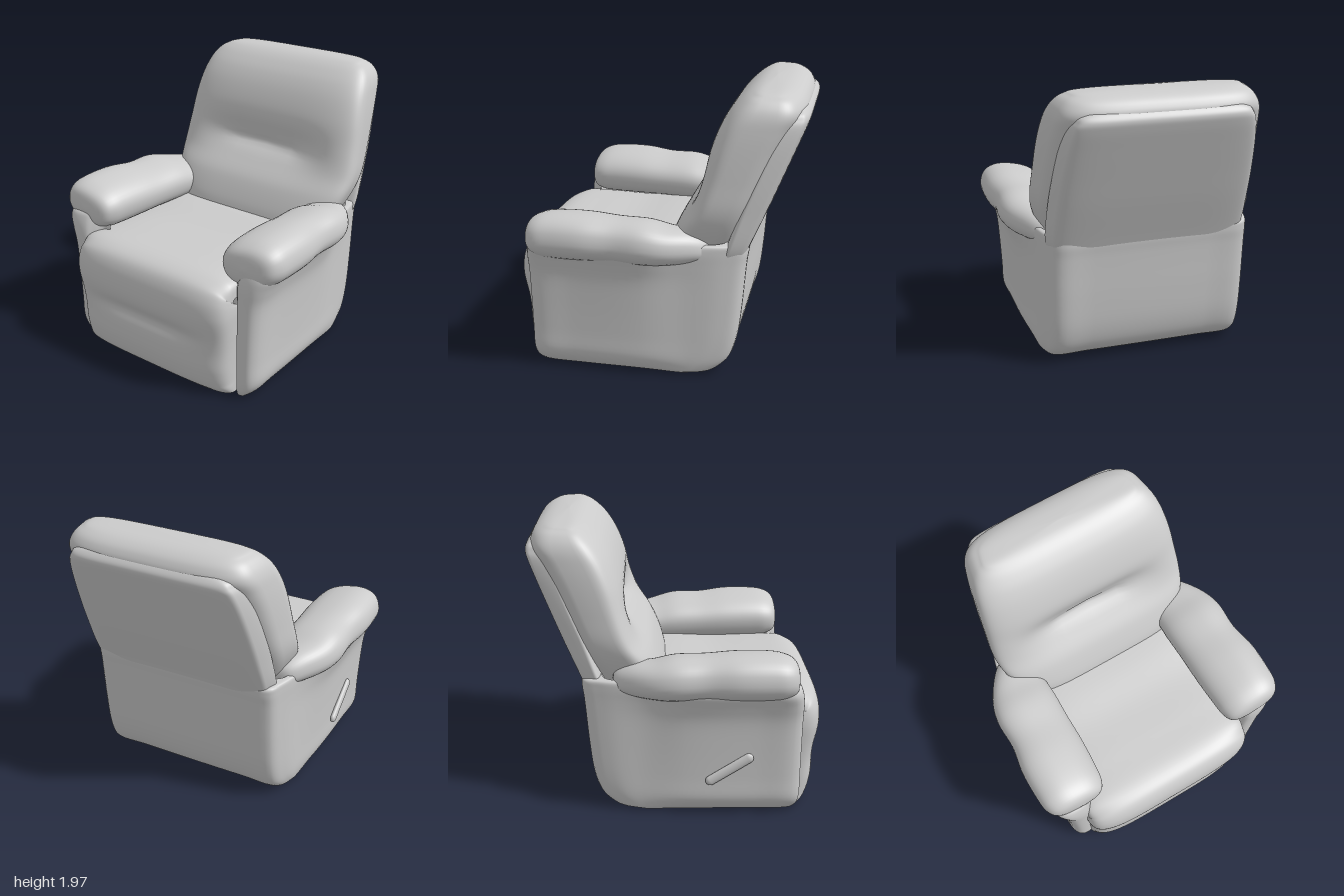
import * as THREE from 'three';
import { mergeVertices } from 'three/addons/utils/BufferGeometryUtils.js';

const material = new THREE.MeshStandardMaterial({ color: 0xcccccc, side: THREE.DoubleSide });

// Smooth surface from a function point(u, v), u and v in 0..1
function surface(name, nu, nv, point) {
  const pos = [], index = [];
  for (let i = 0; i <= nv; i++)
    for (let j = 0; j <= nu; j++) pos.push(...point(j / nu, i / nv));
  for (let i = 0; i < nv; i++)
    for (let j = 0; j < nu; j++) {
      const a = i * (nu + 1) + j, c = a + nu + 1;
      index.push(a, a + 1, c, a + 1, c + 1, c);
    }
  let geo = new THREE.BufferGeometry();
  geo.setAttribute('position', new THREE.Float32BufferAttribute(pos, 3));
  geo.setIndex(index);
  geo = mergeVertices(geo, 1e-5);
  geo.computeVertexNormals();
  const mesh = new THREE.Mesh(geo, material);
  mesh.name = name;
  return mesh;
}

// Smooth interpolation through the rows of a small table
function track(rows) {
  const at = (i) => rows[Math.max(0, Math.min(rows.length - 1, i))];
  return (t) => {
    const f = t * (rows.length - 1), i = Math.min(Math.floor(f), rows.length - 2), s = f - i;
    return rows[0].map((_, k) => {
      const [a, b, c, d] = [at(i - 1)[k], at(i)[k], at(i + 1)[k], at(i + 2)[k]];
      return b + 0.5 * s * (c - a + s * (2 * a - 5 * b + 4 * c - d + s * (3 * (b - c) + d - a)));
    });
  };
}

const power = (x, p) => Math.sign(x) * Math.abs(x) ** p;
const bell = (x, centre, width) => Math.exp(-(((x - centre) / width) ** 2));
const fade = (x, width) => Math.exp(-((x / width) ** 4));

// Side and back walls: one U-shaped skin, open at the bottom, narrower at the back
function bodyShell() {
  // rows: y, half width, front z, back z
  const levels = track([
    [0, 0.71, 0.79, -0.38], [0.05, 0.76, 0.815, -0.46], [0.13, 0.795, 0.825, -0.53],
    [0.28, 0.8, 0.825, -0.575], [0.5, 0.81, 0.825, -0.6], [0.7, 0.825, 0.825, -0.615],
    [0.82, 0.855, 0.825, -0.625], [0.91, 0.885, 0.81, -0.635], [0.96, 0.86, 0.78, -0.62], [0.97, 0.75, 0.7, -0.5],
  ]);
  const outline = (w, zf, zb) => {
    const xs = (k) => 0.63 + k * (w - 0.63), wb = Math.min(w - 0.02, 0.715);
    const half = [
      [0.54, zf - 0.1], [0.6, zf - 0.09], [xs(0.06), zf - 0.04], [xs(0.25), zf], [xs(0.75), zf],
      [w, zf - 0.06], [w, zf - 0.3], [w * 0.985, 0.05], [wb + 0.4 * (w - wb), -0.22],
      [wb, zb + 0.13], [wb - 0.06, zb + 0.01], [0.4, zb],
    ];
    const pts = [...half, ...half.map(([x, z]) => [-x, z]).reverse()];
    return new THREE.CatmullRomCurve3(pts.map(([x, z]) => new THREE.Vector3(x, 0, z)));
  };
  let last = -1, curve;
  return surface('bodyShell', 138, 40, (u, v) => {
    const [y, w, zf, zb] = levels(v);
    if (v !== last) { curve = outline(w, zf, zb); last = v; }
    const p = curve.getPoint(u);
    return [p.x, y, p.z];
  });
}

// Footrest and seat: one padded sheet with edges rolled inwards
function seatCushion() {
  const path = new THREE.CatmullRomCurve3([
    [0, 0.87], [0.06, 0.93], [0.17, 0.96], [0.32, 0.965], [0.42, 0.975], [0.6, 1.0], [0.73, 0.985],
    [0.81, 0.94], [0.85, 0.85], [0.855, 0.6], [0.85, 0.3], [0.87, 0], [0.87, -0.55],
  ].map(([y, z]) => new THREE.Vector3(0, y, z)));
  return surface('seatAndFootrest', 56, 90, (u, v) => {
    const p = path.getPoint(v), t = path.getTangent(v), a = (u - 0.5) * Math.PI;
    const bulge = 0.65 + 0.02 * bell(p.y, 0.6, 0.25);
    const x = bulge * power(Math.sin(a), 0.5);
    const front = THREE.MathUtils.smoothstep(p.z, 0.8, 0.93);
    const d = (0.14 + 0.12 * front) * (1 - Math.max(0, Math.cos(a)) ** 0.4)
      + 0.035 * front * bell(p.y, 0.41, 0.07) * fade(x, 0.45);
    return [x - 0.03, p.y + t.z * d * Math.min(1, p.y * 4), p.z - t.y * d];
  });
}

// Upright padded slab, tapering to the rear, from rows of: y, half width, front z, back z
function slab(name, rows, exponent, dent) {
  const levels = track(rows);
  return surface(name, 72, 70, (u, v) => {
    const [y, w, zf, zb] = levels(v), a = u * Math.PI * 2;
    const x = w * power(Math.cos(a), 2 / exponent), s = -power(Math.sin(a), 2 / exponent);
    const z = (zf + zb) / 2 + s * (zf - zb) / 2 + Math.max(0, s) * dent(x, y);
    return [x * (0.95 + 0.05 * s) + 0.025, y, z];
  });
}

// Arm pad: tilted ellipses strung along z; side is +1 or -1
function armPad(side) {
  // rows: z, centre x, centre y, half width, half height
  const sections = track([
    [-0.42, 0.62, 0.93, 0, 0], [-0.4, 0.62, 0.93, 0.1, 0.07], [-0.3, 0.64, 0.945, 0.17, 0.11],
    [-0.15, 0.685, 0.955, 0.21, 0.13], [0, 0.7, 0.97, 0.23, 0.15], [0.2, 0.7, 0.975, 0.225, 0.15],
    [0.4, 0.715, 0.985, 0.24, 0.16], [0.6, 0.72, 0.985, 0.235, 0.16], [0.72, 0.72, 0.98, 0.22, 0.145],
    [0.79, 0.715, 0.975, 0.16, 0.1], [0.81, 0.715, 0.97, 0, 0],
  ]);
  const tilt = 0.2 * side;
  return surface(side > 0 ? 'leftArmPad' : 'rightArmPad', 40, 50, (u, v) => {
    const [z, cx, cy, rw, rh] = sections(v), a = u * Math.PI * 2;
    const ex = rw * power(Math.cos(a), 0.85), ey = rh * power(Math.sin(a), 0.85);
    return [
      side * cx + ex * Math.cos(tilt) - ey * Math.sin(tilt),
      cy - side * 0.015 + ex * Math.sin(tilt) + ey * Math.cos(tilt), z + 0.015 * side,
    ];
  });
}

export function createModel() {
  const chair = new THREE.Group();
  chair.name = 'recliner';
  chair.add(bodyShell(), seatCushion());

  // Backrest cushion, hollowed and tucked across the middle, its top rolling over to the rear
  chair.add(slab('backCushion', [
    [0.82, 0.6, -0.06, -0.5], [0.93, 0.69, -0.09, -0.55], [1.08, 0.76, -0.16, -0.63],
    [1.22, 0.785, -0.25, -0.69], [1.4, 0.775, -0.31, -0.77], [1.58, 0.76, -0.36, -0.85],
    [1.72, 0.74, -0.415, -0.92], [1.82, 0.715, -0.475, -0.97], [1.89, 0.675, -0.54, -0.95],
    [1.935, 0.615, -0.6, -0.9], [1.96, 0.5, -0.66, -0.83], [1.97, 0, -0.73, -0.73],
  ], 4, (x, y) => -0.08 * bell(y, 1.34, 0.13) * fade(x, 0.5) - 0.035 * bell(y, 1.31, 0.04) * fade(x, 0.28)));

  // Flat panel behind the cushion
  chair.add(slab('backPanel', [
    [0.8, 0.67, -0.45, -0.6], [0.95, 0.715, -0.5, -0.66], [1.2, 0.71, -0.58, -0.765],
    [1.4, 0.695, -0.66, -0.845], [1.6, 0.67, -0.74, -0.925], [1.74, 0.64, -0.8, -0.98],
    [1.8, 0.61, -0.83, -0.995], [1.84, 0.57, -0.85, -0.975], [1.86, 0.45, -0.86, -0.945], [1.865, 0, -0.89, -0.89],
  ], 6, () => 0));

  for (const side of [1, -1]) chair.add(armPad(side));

  // Release lever on the right side
  const lever = new THREE.Mesh(new THREE.CapsuleGeometry(0.035, 0.3, 6, 16), material);
  lever.name = 'lever';
  lever.scale.x = 0.6;
  lever.position.set(-0.815, 0.36, 0.34);
  lever.rotation.x = 1.0;
  chair.add(lever);
  return chair;
}
